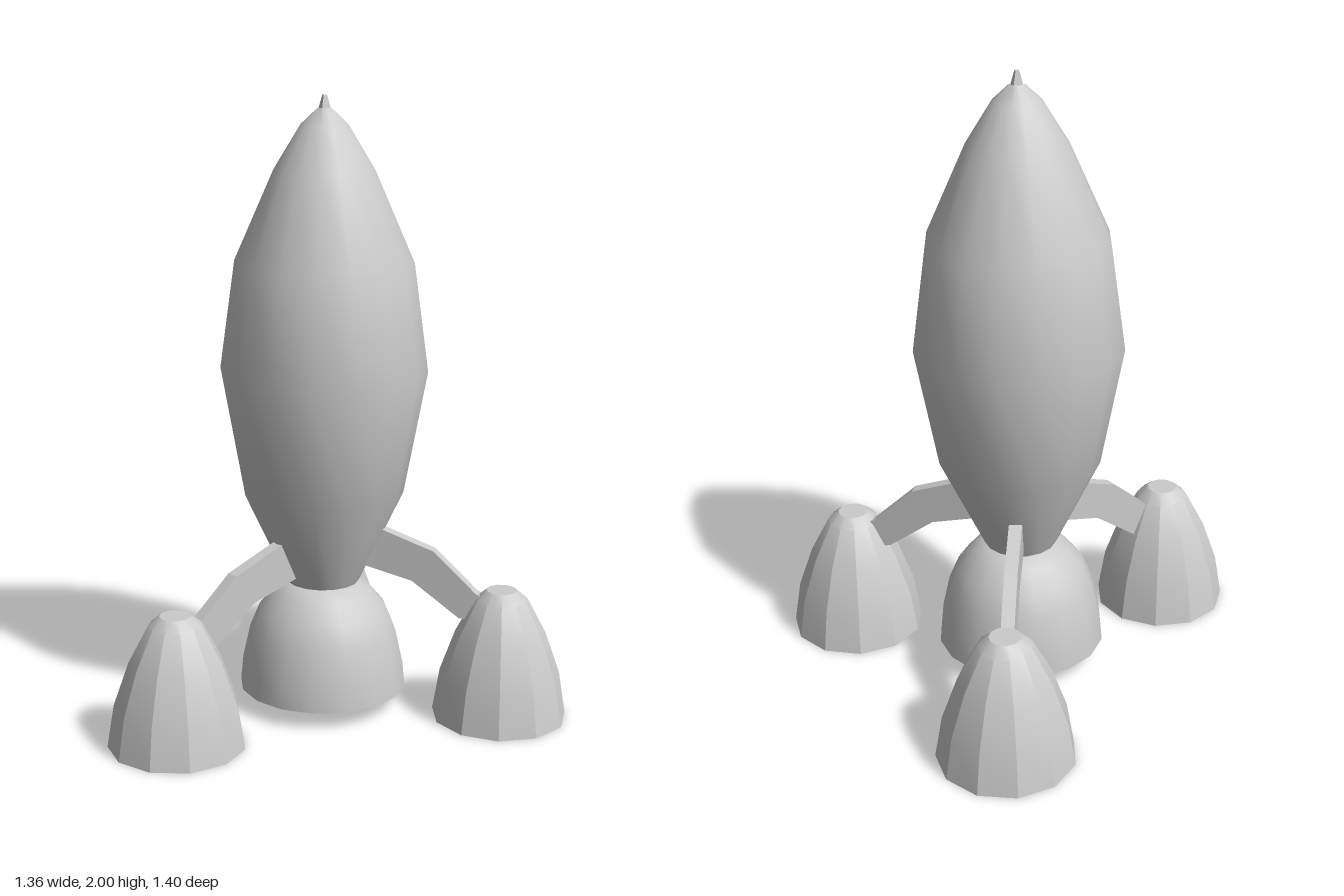
import * as THREE from 'three';
import { toCreasedNormals } from 'three/addons/utils/BufferGeometryUtils.js';

const material = new THREE.MeshStandardMaterial({ color: 0xcccccc });
const AXIS_Z = -0.11; // the hull stands a little behind the origin

function addMesh(parent, name, geometry) {
  const mesh = new THREE.Mesh(geometry, material);
  mesh.name = name;
  parent.add(mesh);
  return mesh;
}

// Turned shape from [radius, height] pairs, listed from the bottom up
function turned(profile, sides, phase, crease) {
  const points = profile.map(([r, y]) => new THREE.Vector2(r, y));
  return toCreasedNormals(new THREE.LatheGeometry(points, sides, phase, Math.PI * 2), crease);
}

// Curved strut: d is the distance from the hull axis
function strutGeometry(lift) {
  const shape = new THREE.Shape([
    [0.03, 0.46], [0.13, 0.455], [0.30, 0.41], [0.455, 0.295], [0.48, 0.29],
    [0.53, 0.385], [0.51, 0.395], [0.37, 0.515], [0.18, 0.585], [0.03, 0.6],
  ].map(([d, y]) => new THREE.Vector2(d, y + lift * (d < 0.5 ? 1 : 0.6))));
  const geometry = new THREE.ExtrudeGeometry(shape, { depth: 0.042, bevelEnabled: false });
  geometry.translate(0, 0, -0.021);
  return geometry;
}

export function createModel() {
  const model = new THREE.Group();
  model.name = 'rocket';

  // Hull
  const hull = addMesh(model, 'hull', turned([
    [0, 0.415], [0.115, 0.415], [0.262, 0.73], [0.335, 1.13], [0.287, 1.48],
    [0.16, 1.77], [0.075, 1.91], [0.022, 1.96],
  ], 16, 0, 0.75));
  hull.position.z = AXIS_Z;

  // Small four-sided point on the nose
  const tip = addMesh(model, 'noseTip', turned([
    [0.022, 1.955], [0.008, 2], [0, 2],
  ], 4, 0.5, 0.3));
  tip.position.z = AXIS_Z;

  // Main engine bell, hollow below
  const bell = addMesh(model, 'mainEngine', turned([
    [0, 0.33], [0.1, 0.31], [0.16, 0.22], [0.19, 0.06], [0.275, 0.06],
    [0.267, 0.14], [0.243, 0.25], [0.21, 0.33], [0.16, 0.39], [0.115, 0.425], [0, 0.425],
  ], 16, 0, 0.7));
  bell.position.z = AXIS_Z;

  // Outer engines with their struts: angle round the hull, facet phase, strut lift
  const outerEngines = [
    ['front', 0, 0, 0],
    ['left', 2.244, 1.94, 0.035],
    ['right', -2.244, Math.PI, 0],
  ];
  const nozzleProfile = [
    [0, 0.32], [0.07, 0.31], [0.12, 0.2], [0.155, 0], [0.22, 0], [0.197, 0.14],
    [0.148, 0.28], [0.085, 0.4], [0.05, 0.43], [0, 0.43],
  ];
  for (const [side, angle, phase, lift] of outerEngines) {
    const nozzle = addMesh(model, side + 'Engine', turned(nozzleProfile, 11, phase, 0.5));
    nozzle.position.set(Math.sin(angle) * 0.592, 0, AXIS_Z + Math.cos(angle) * 0.592);

    const strut = addMesh(model, side + 'Strut', strutGeometry(lift));
    strut.position.z = AXIS_Z;
    strut.rotation.y = angle - Math.PI / 2;
  }

  return model;
}
